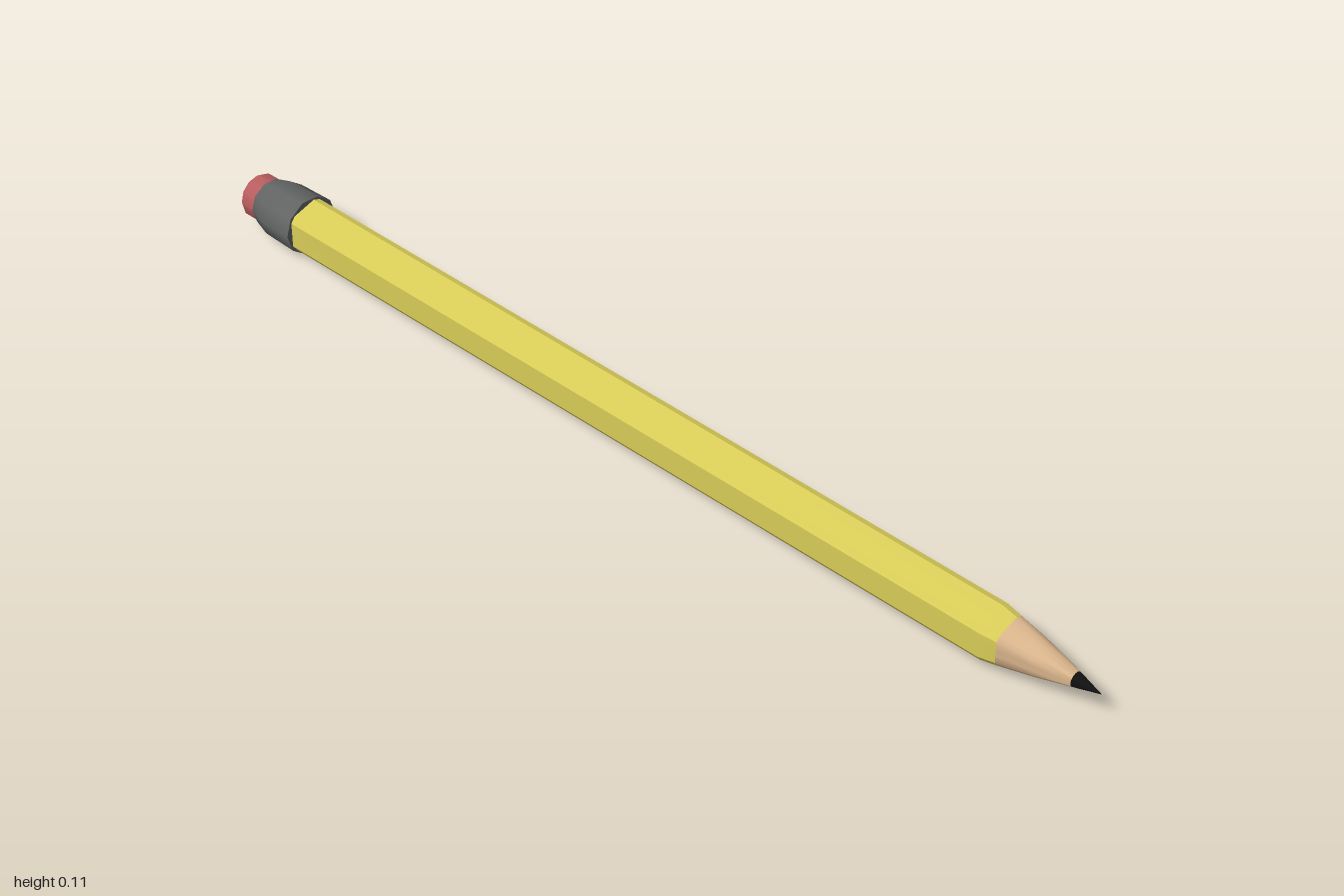
import * as THREE from 'three';
import { toCreasedNormals } from 'three/addons/utils/BufferGeometryUtils.js';

const RAD = Math.PI / 180;

// Five-sided outline with narrow chamfered corners: [angle, radius factor]
const pentagon = [];
for (let k = 0; k < 5; k++) {
  for (const offset of [-8, 8, 27, 45]) {
    const factor = offset < 10 ? 1 : Math.cos(28 * RAD) / Math.cos((offset - 36) * RAD);
    pentagon.push([(k * 72 + offset) * RAD, factor]);
  }
}
// Regular outline
const regular = (n) => Array.from({ length: n }, (_, i) => [(i / n) * 2 * Math.PI, 1]);

// Skin over rings [z, radius, roundness], listed from back to front
function loft(outline, rings, crease) {
  const point = (ring, j) => {
    const [angle, factor] = outline[j % outline.length];
    const [z, radius, round = 0] = ring;
    const r = radius * (factor + (1 - factor) * round);
    return [Math.cos(angle) * r, Math.sin(angle) * r, z];
  };
  const positions = [];
  for (let i = 0; i < rings.length - 1; i++) {
    for (let j = 0; j < outline.length; j++) {
      const a = point(rings[i], j), b = point(rings[i], j + 1);
      const c = point(rings[i + 1], j + 1), d = point(rings[i + 1], j);
      if (rings[i][1] > 0) positions.push(...a, ...b, ...c);
      if (rings[i + 1][1] > 0) positions.push(...a, ...c, ...d);
      else if (rings[i][1] > 0) continue;
    }
  }
  const geometry = new THREE.BufferGeometry();
  geometry.setAttribute('position', new THREE.Float32BufferAttribute(positions, 3));
  return toCreasedNormals(geometry, crease);
}

export function createModel() {
  const model = new THREE.Group();
  model.name = 'pencil';

  const material = (name, color) => {
    const m = new THREE.MeshStandardMaterial({ color });
    m.name = name;
    return m;
  };
  const add = (name, geometry, mat) => {
    const mesh = new THREE.Mesh(geometry, mat);
    mesh.name = name;
    mesh.position.y = 0.0565;
    model.add(mesh);
  };

  // Painted shaft, slightly thinner toward the point, with a sloped front rim
  add('shaft', loft(pentagon, [
    [-0.9, 0], [-0.9, 0.053], [0.795, 0.05], [0.825, 0.044, 0.15],
  ], 0.5), material('yellow paint', 0xd8cc58));

  // Sharpened wood, blending from the shaft outline to a circle
  add('sharpenedWood', loft(pentagon, [
    [0.825, 0.044, 0.15], [0.885, 0.0305, 0.6], [0.95, 0.0135, 1],
  ], 0.9), material('bare wood', 0xd9b48c));

  // Lead point
  add('leadTip', loft(pentagon, [
    [0.95, 0.0135, 1], [1, 0, 1],
  ], 0.9), material('graphite', 0x111111));

  // Metal ferrule, narrowing toward the eraser
  add('ferrule', loft(regular(10), [
    [-0.962, 0], [-0.962, 0.046], [-0.925, 0.0565], [-0.845, 0.0585], [-0.845, 0],
  ], 0.9), material('grey metal', 0x626464));

  // Eraser with a small bevel at its end
  add('eraser', loft(regular(12), [
    [-1, 0], [-1, 0.04], [-0.993, 0.0445], [-0.94, 0.0445],
  ], 0.7), material('pink rubber', 0xb85c5e));

  return model;
}
